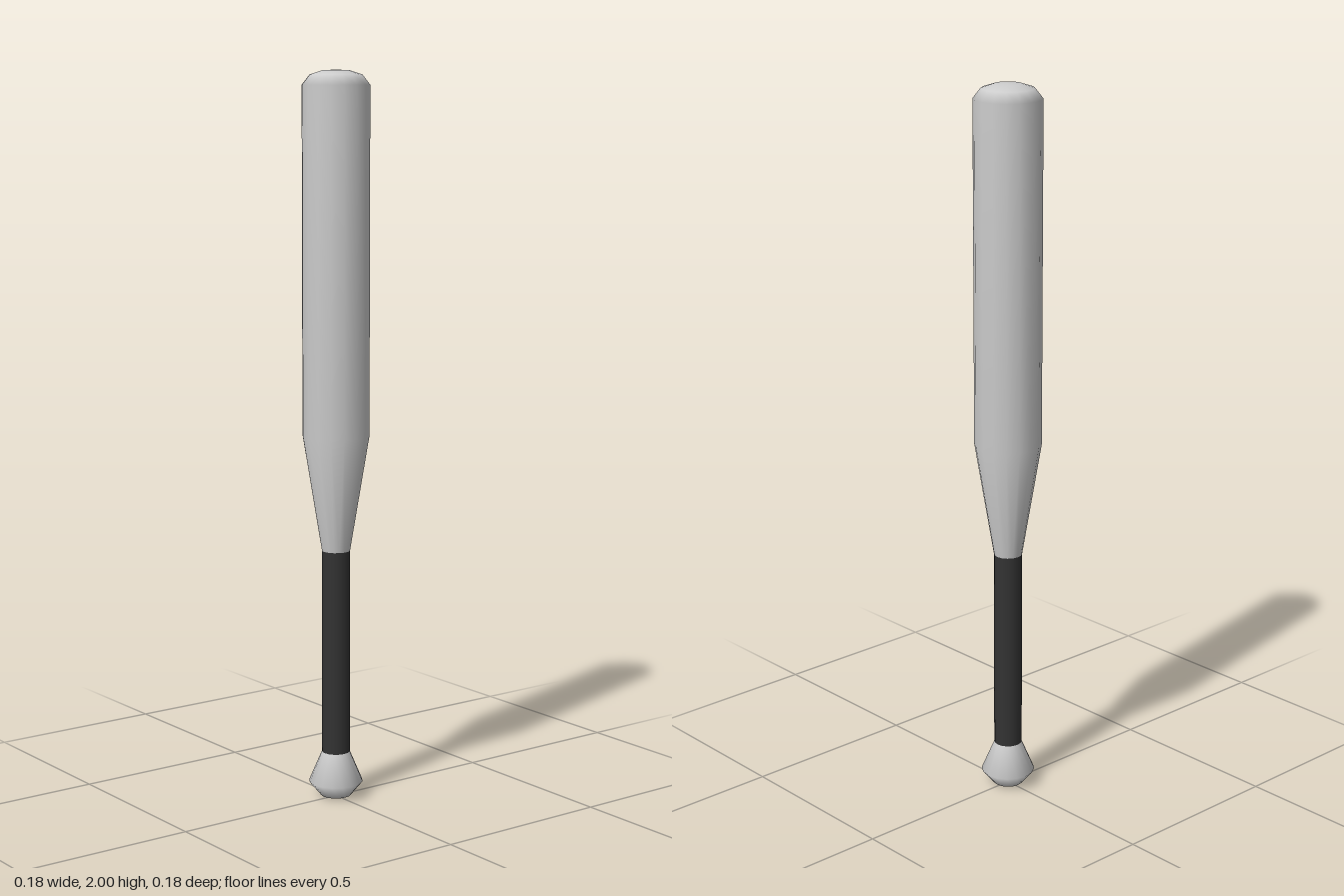
import * as THREE from 'three';

const SIDES = 16;

// Turned part from [radius, height] pairs, bottom to top
function turned(name, profile, color) {
  const points = profile.map(([r, y]) => new THREE.Vector2(r, y));
  const mesh = new THREE.Mesh(
    new THREE.LatheGeometry(points, SIDES),
    new THREE.MeshStandardMaterial({ color })
  );
  mesh.name = name;
  return mesh;
}

export function createModel() {
  const bat = new THREE.Group();
  bat.name = 'bat';

  // Flared knob with a closed, slightly rounded base
  bat.add(turned('knob', [[0, 0], [0.042, 0.005], [0.075, 0.045], [0.039, 0.13]], 0xcccccc));

  // Dark straight grip
  bat.add(turned('grip', [[0.039, 0.13], [0.039, 0.7]], 0x333333));

  // Tapered neck, straight barrel and domed tip
  bat.add(turned('barrel', [
    [0.039, 0.7], [0.092, 1.02], [0.092, 1.96],
    [0.071, 1.987], [0.037, 1.998], [0, 2],
  ], 0xcccccc));

  return bat;
}
